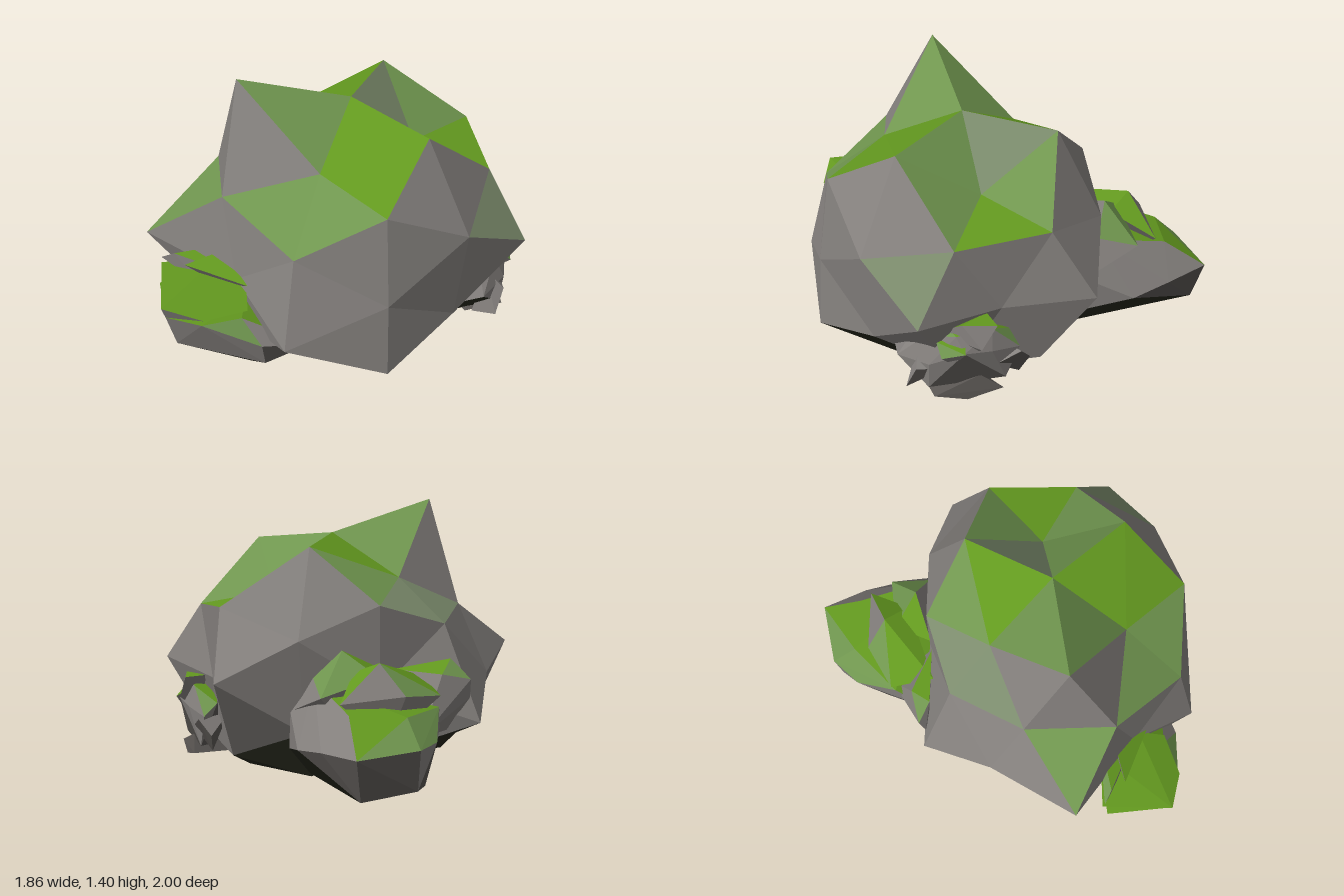
import * as THREE from 'three';
import { ConvexGeometry } from 'three/addons/geometries/ConvexGeometry.js';

const flat = (name, color) => {
  const m = new THREE.MeshStandardMaterial({ color });
  m.name = name;
  return m;
};
const MATERIALS = [
  flat('rockGrey', 0x85817e), flat('mossGreen', 0x63991f), flat('paleMoss', 0x70964f),
  flat('fadedMoss', 0x7b8b6c), flat('darkRock', 0x5a5653), flat('underside', 0x27281d),
];
const [GREY, MOSS, PALE, FADED, DARK, UNDER] = MATERIALS.keys();

// One material group per triangle; pick(face) returns a material index
function paintFaces(geo, pick) {
  const count = geo.attributes.position.count;
  for (let i = 0; i < count; i += 3) geo.addGroup(i, 3, pick(i));
  return geo;
}

// Radial spread and height of each corner of the boulder, in rings from
// the crown down, each ring running +x, front, -x, back
const BOULDER = [
  [0, 1.235],
  [0.63, 0.94], [1.08, 1.4],
  [0.9, 1.19], [0.77, 1.03], [0.76, 1.02], [0.9, 1.2],
  [0.9, 0.96], [0.84, 0.92],
  [0.82, 0.86], [0.86, 0.9], [0.79, 0.85], [0.86, 0.9],
  [0.86, 0.75], [0.86, 0.75], [0.78, 0.8], [0.82, 0.76],
  [0.67, 0.5], [0.94, 0.55], [0.84, 0.5], [0.78, 0.5],
  [1.05, 0.59], [0.85, 0.5], [0.72, 0.5], [0.93, 0.55],
  [0.79, 0.26], [1.0, 0.3], [1.02, 0.31], [0.7, 0.28],
  [0.74, 0.13], [0.84, 0.2], [0.86, 0.2], [0.78, 0.13],
  [1.02, 0.11], [0.78, 0.15],
  [0.9, 0.03], [0.9, 0.02], [0.85, 0.1], [0.9, 0.03],
  [0.9, 0.02], [1.236, 0],
  [0, 0],
];
const BELT_END = 25; // corners before this lie on or above the widest ring

// Mossy faces of the boulder, named by their three corners
const MOSSY = [
  [MOSS, ['0-3-4', '3-4-7', '0-5-6', '1-9-12']],
  [PALE, ['0-1-3', '1-3-9', '1-6-12', '0-2-4', '0-2-5', '5-6-8', '4-10-14', '4-7-14', '10-11-21']],
  [FADED, ['0-1-6', '5-8-15', '5-11-15', '9-13-18']],
];

function boulderGeometry() {
  const geo = new THREE.IcosahedronGeometry(1, 1);
  const p = geo.attributes.position;
  const keyOf = (i) => [p.getX(i), p.getY(i), p.getZ(i)].map((v) => Math.round(v * 100)).join();
  const angle = (d) => (Math.atan2(d[2], d[0]) + Math.PI * 2 + 0.02) % (Math.PI * 2);
  const corners = new Map();
  const keys = [];
  for (let i = 0; i < p.count; i++) {
    keys.push(keyOf(i));
    corners.set(keys[i], keys[i].split(',').map(Number));
  }
  const order = [...corners.keys()].sort((a, b) => {
    const u = corners.get(a), v = corners.get(b);
    return v[1] - u[1] || angle(u) - angle(v);
  });
  const index = keys.map((k) => order.indexOf(k));
  index.forEach((n, i) => {
    const [spread, height] = BOULDER[n];
    p.setXYZ(i, 0.12 + p.getX(i) * spread, height, 0.22 + p.getZ(i) * spread * 0.9);
  });
  geo.computeVertexNormals();
  const normal = geo.attributes.normal;
  return paintFaces(geo, (i) => {
    const face = index.slice(i, i + 3).sort((a, b) => a - b);
    const mossy = MOSSY.find(([, faces]) => faces.includes(face.join('-')));
    if (mossy) return mossy[0];
    return face[0] >= BELT_END && normal.getY(i) < -0.4 ? UNDER : GREY;
  });
}

// Faceted chunk around a few corner points: moss on its high upward faces,
// darker stone below
function chunkGeometry(points) {
  const geo = new ConvexGeometry(points.map((c) => new THREE.Vector3(...c)));
  const { normal, position: p } = geo.attributes;
  return paintFaces(geo, (i) => {
    const ny = normal.getY(i);
    const height = (p.getY(i) + p.getY(i + 1) + p.getY(i + 2)) / 3;
    if (height > 0.3 && ny > 0.58) return ny > 0.74 ? MOSS : PALE;
    if (height < 0.25 && ny < -0.1) return ny < -0.5 ? UNDER : DARK;
    return height < 0.2 ? DARK : GREY;
  });
}

const ROCKS = {
  backRock: [
    // body
    [[0.15, 0.32, -0.97], [0.48, 0.31, -1], [0.56, 0.3, -0.76], [0.6, 0.27, -0.55], [0.55, 0.4, -0.31],
      [0.43, 0.47, -0.78], [0.16, 0.45, -0.84], [0.01, 0.32, -0.85], [-0.1, 0.44, -0.64], [-0.2, 0.32, -0.45],
      [0.15, 0.12, -0.94], [0.44, 0.1, -0.95], [0.36, 0.05, -0.77], [0, 0.07, -0.7], [0.42, 0.06, -0.23],
      [0.53, 0.2, -0.23], [-0.12, 0.12, -0.4], [0.46, 0.57, -0.4]],
    // upper crags
    [[0.34, 0.72, -0.47], [0.46, 0.58, -0.39], [0.5, 0.52, -0.6], [0.2, 0.6, -0.6], [0.1, 0.6, -0.42],
      [0.3, 0.3, -0.5], [0.54, 0.42, -0.34]],
    [[0.22, 0.68, -0.65], [0.13, 0.53, -0.76], [0.45, 0.51, -0.72], [-0.1, 0.5, -0.66], [-0.1, 0.56, -0.43],
      [0.3, 0.62, -0.52], [0.2, 0.3, -0.7]],
    // side shard
    [[-0.34, 0.44, -0.5], [-0.33, 0.54, -0.53], [-0.25, 0.64, -0.46], [-0.16, 0.58, -0.55], [-0.22, 0.28, -0.48],
      [0.05, 0.6, -0.42], [0, 0.3, -0.66]],
  ],
  leftRock: [
    // body
    [[-0.91, 0.42, 0.71], [-0.9, 0.4, 0.4], [-0.75, 0.41, 0.8], [-0.55, 0.39, 0.76], [-0.47, 0.27, 0.85],
      [-0.86, 0.23, 0.68], [-0.65, 0.06, 0.55], [-0.5, 0.05, 0.68], [-0.22, 0.2, 0.8], [-0.8, 0.2, 0.42],
      [-0.5, 0.42, 0.62], [-0.5, 0.4, 0.4], [-0.4, 0.06, 0.5], [-0.45, 0.14, 0.82]],
    // mossy ledge
    [[-0.93, 0.49, 0.73], [-0.88, 0.5, 0.37], [-0.74, 0.44, 0.805], [-0.52, 0.43, 0.76], [-0.91, 0.42, 0.71],
      [-0.5, 0.48, 0.62], [-0.6, 0.51, 0.4], [-0.85, 0.38, 0.5], [-0.55, 0.36, 0.6]],
    // top slabs
    [[-0.82, 0.58, 0.42], [-0.88, 0.54, 0.38], [-0.55, 0.52, 0.58], [-0.52, 0.58, 0.4], [-0.7, 0.42, 0.5]],
    [[-0.57, 0.6, 0.47], [-0.78, 0.56, 0.5], [-0.5, 0.5, 0.66], [-0.45, 0.5, 0.45], [-0.6, 0.4, 0.5]],
  ],
  rightRock: [
    // body
    [[0.87, 0.45, 0.29], [0.87, 0.44, 0.47], [0.79, 0.42, 0.6], [0.85, 0.29, 0.6], [0.83, 0.14, 0.6],
      [0.86, 0.14, 0.22], [0.86, 0.31, 0.15], [0.9, 0.34, 0.3], [0.91, 0.36, 0.44], [0.62, 0.08, 0.55],
      [0.54, 0.24, 0.7], [0.7, 0.27, 0.72], [0.78, 0.37, 0.18], [0.7, 0.52, 0.55]],
    // crown
    [[0.92, 0.5, 0.28], [0.87, 0.5, 0.44], [0.8, 0.44, 0.56], [0.93, 0.38, 0.36], [0.8, 0.5, 0.3], [0.82, 0.3, 0.4]],
    // mossy shelf
    [[0.93, 0.37, 0.44], [0.9, 0.35, 0.55], [0.84, 0.41, 0.56], [0.84, 0.42, 0.42], [0.86, 0.27, 0.48]],
    // foot and side shards
    [[0.88, 0.06, 0.42], [0.89, 0.1, 0.24], [0.62, 0.07, 0.35], [0.86, 0.18, 0.35], [0.86, 0.1, 0.58], [0.65, 0.1, 0.6]],
    [[0.83, 0.26, 0.66], [0.78, 0.13, 0.7], [0.68, 0.11, 0.62], [0.85, 0.25, 0.52], [0.74, 0.36, 0.62]],
    [[0.84, 0.22, 0.09], [0.89, 0.3, 0.15], [0.82, 0.13, 0.14], [0.88, 0.24, 0.28], [0.7, 0.3, 0.25]],
  ],
};

export function createModel() {
  const model = new THREE.Group();
  model.name = 'mossyRocks';
  const boulder = new THREE.Mesh(boulderGeometry(), MATERIALS);
  boulder.name = 'boulder';
  model.add(boulder);

  // Smaller rocks leaning against the boulder
  for (const [name, chunks] of Object.entries(ROCKS)) {
    const rock = new THREE.Group();
    rock.name = name;
    chunks.forEach((points, i) => {
      const mesh = new THREE.Mesh(chunkGeometry(points), MATERIALS);
      mesh.name = `${name}Chunk${i + 1}`;
      rock.add(mesh);
    });
    model.add(rock);
  }
  return model;
}
